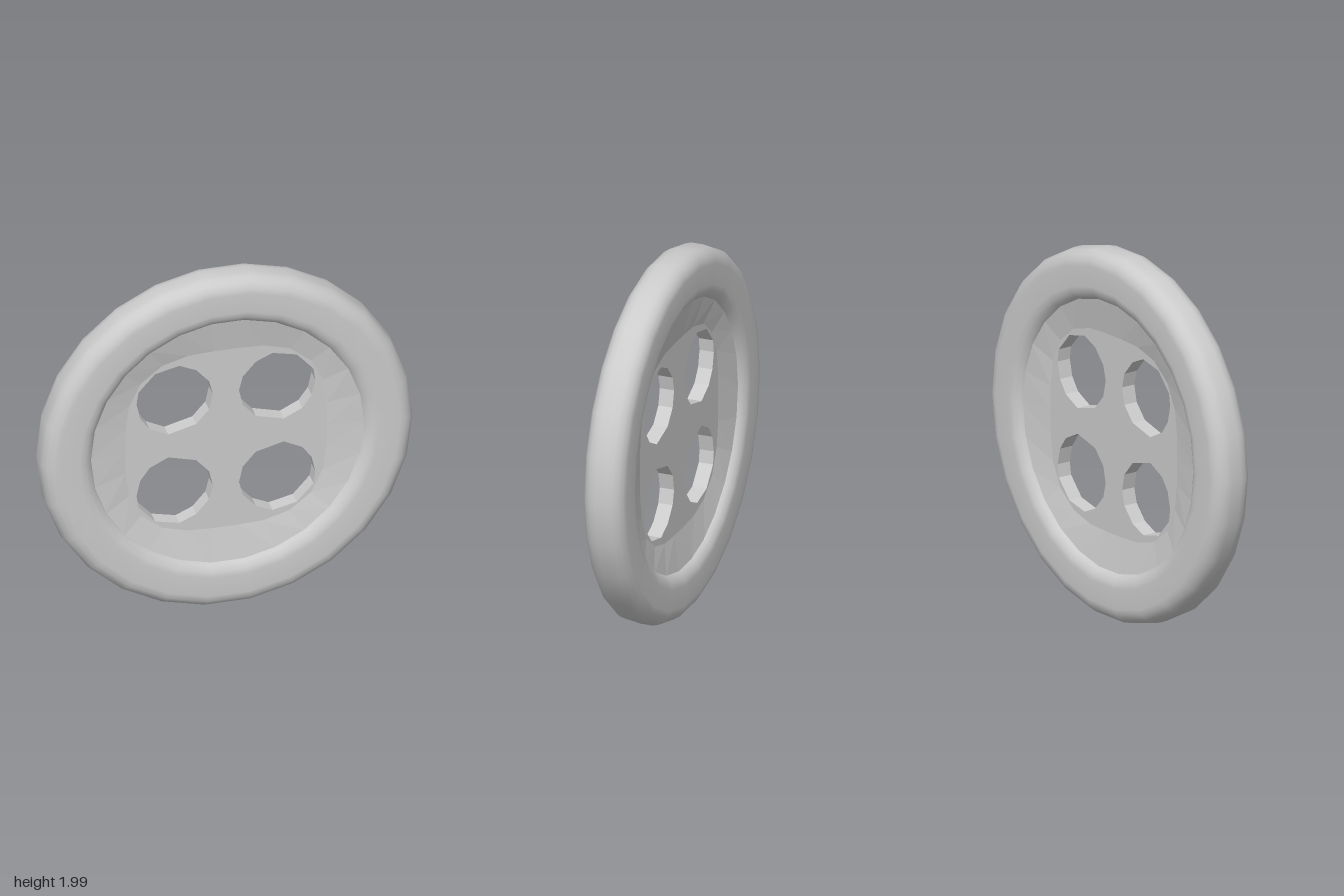
import * as THREE from 'three';

const SIDES = 26;
const CENTER_Y = 0.993;
const FLOOR_Z = 0.04; // half thickness of the middle

// Outline of the flat middle: a circle that bulges around the four holes
const floorRadius = (a) => 0.54 + 0.07 * Math.sin(2 * a) ** 2;
const angle = (i) => ((i % SIDES) / SIDES) * Math.PI * 2;

// Rounded rim swept around the button
function rimGeometry() {
  const cx = 0.86, hw = 0.14, hh = 0.115, r = 0.085;
  const corners = [[-1, -1, Math.PI], [1, -1, Math.PI * 1.5], [1, 1, 0], [-1, 1, Math.PI / 2]];
  const points = [new THREE.Vector2(cx - hw, 0)];
  for (const [sx, sy, start] of corners) {
    for (let i = 0; i <= 4; i++) {
      const a = start + (i / 4) * Math.PI / 2;
      points.push(new THREE.Vector2(
        cx + sx * (hw - r) + r * Math.cos(a),
        sy * (hh - r) + r * Math.sin(a)));
    }
  }
  points.push(new THREE.Vector2(cx - hw, 0));
  return new THREE.LatheGeometry(points, SIDES, Math.PI / 2).rotateX(Math.PI / 2);
}

// Flat middle plate with four mirrored thread holes
function floorGeometry() {
  const shape = new THREE.Shape();
  const outline = [];
  for (let i = 0; i < SIDES; i++) {
    const a = angle(i), r = floorRadius(a);
    outline.push(new THREE.Vector2(r * Math.cos(a), r * Math.sin(a)));
  }
  shape.setFromPoints(outline);
  const hole = [[0.25, 0.48], [0.16, 0.44], [0.09, 0.36], [0.07, 0.28], [0.09, 0.19], [0.16, 0.11],
    [0.31, 0.07], [0.41, 0.12], [0.46, 0.19], [0.48, 0.28], [0.47, 0.35], [0.38, 0.45]];
  for (const sx of [-1, 1]) {
    for (const sy of [-1, 1]) {
      shape.holes.push(new THREE.Path(hole.map(([x, y]) => new THREE.Vector2(sx * x, sy * y))));
    }
  }
  return new THREE.ExtrudeGeometry(shape, { depth: FLOOR_Z * 2, bevelEnabled: false })
    .translate(0, 0, -FLOOR_Z);
}

// Sloping ring from the flat middle up to the rim
function dishGeometry() {
  const positions = [], index = [];
  for (let i = 0; i < SIDES; i++) {
    const a = angle(i), r = floorRadius(a);
    positions.push(r * Math.cos(a), r * Math.sin(a), FLOOR_Z);
    positions.push(0.745 * Math.cos(a), 0.745 * Math.sin(a), 0.075);
    const p = i * 2, q = ((i + 1) % SIDES) * 2;
    index.push(p, p + 1, q + 1, p, q + 1, q);
  }
  const geometry = new THREE.BufferGeometry();
  geometry.setAttribute('position', new THREE.Float32BufferAttribute(positions, 3));
  geometry.setIndex(index);
  geometry.computeVertexNormals();
  return geometry;
}

export function createModel() {
  const group = new THREE.Group();
  group.name = 'button';
  const smooth = new THREE.MeshStandardMaterial({ color: 0xcccccc });
  const flat = new THREE.MeshStandardMaterial({ color: 0xcccccc, flatShading: true });

  const add = (name, geometry, material) => {
    const mesh = new THREE.Mesh(geometry, material);
    mesh.name = name;
    mesh.position.y = CENTER_Y;
    group.add(mesh);
    return mesh;
  };

  add('rim', rimGeometry(), smooth);
  add('holedPlate', floorGeometry(), flat);
  const dish = dishGeometry();
  add('frontDish', dish, flat);
  add('backDish', dish, flat).scale.z = -1;
  return group;
}
